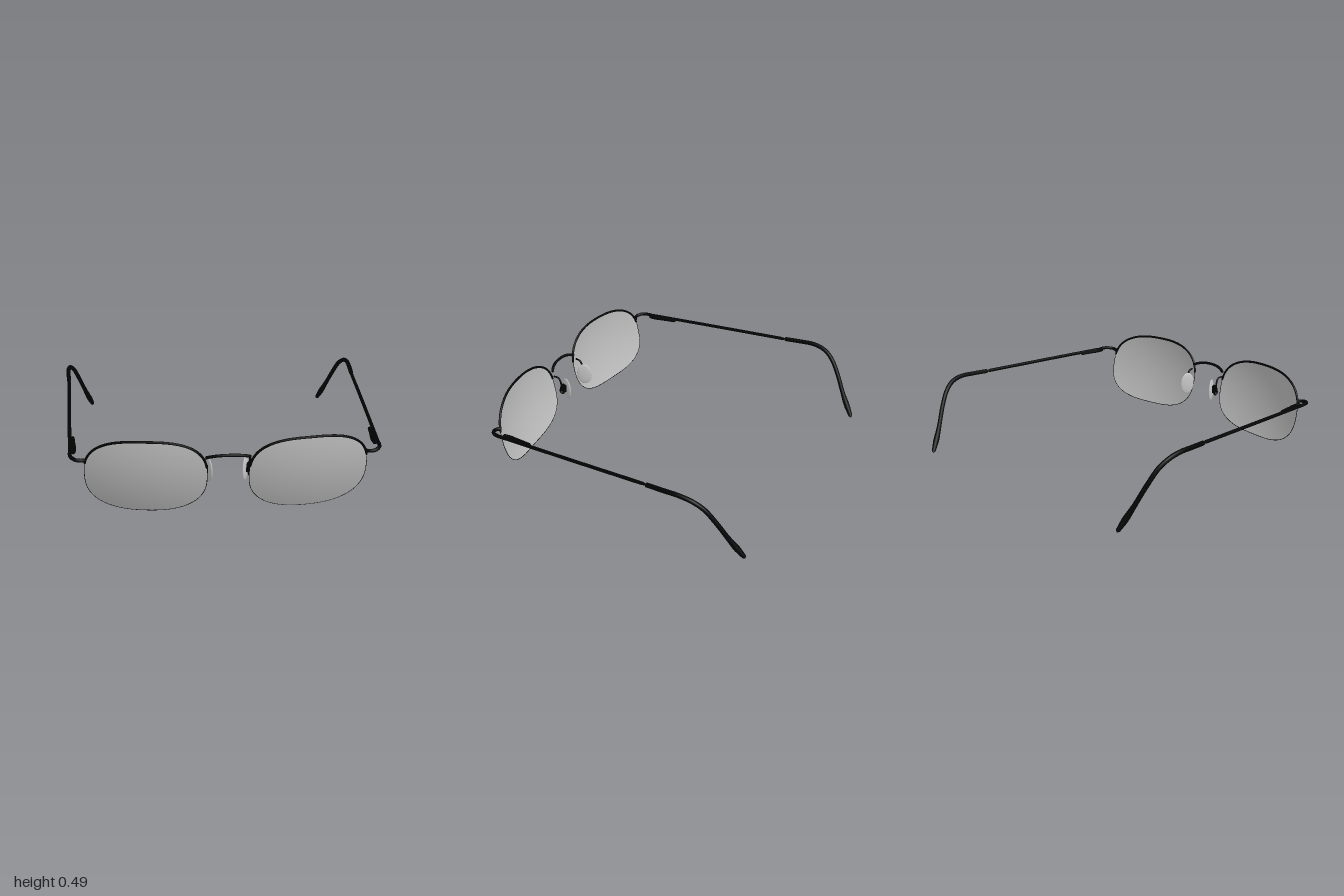
import * as THREE from 'three';
import { mergeVertices } from 'three/addons/utils/BufferGeometryUtils.js';

const lensMat = new THREE.MeshStandardMaterial({ color: 0xbababa, side: THREE.DoubleSide });
lensMat.name = 'smoke grey lens';
const padMat = new THREE.MeshStandardMaterial({ color: 0xc6c6c6 });
padMat.name = 'pale grey pad';
const frameMat = new THREE.MeshStandardMaterial({ color: 0x020202 });
frameMat.name = 'black frame';

const V = (x, y, z) => new THREE.Vector3(x, y, z);

// Rounded lens outline, at fraction r from its centre
function outline(angle, r = 1) {
  const c = Math.cos(angle), s = Math.sin(angle), n = 2.65;
  const k = r / Math.pow(Math.abs(c) ** n + Math.abs(s) ** n, 1 / n);
  return [0.357 * k * c, 0.243 + 0.239 * k * s];
}

// Curved, tilted face that the lenses and rims follow
function faceZ(x, y) {
  const dx = Math.abs(x) - 0.33, dy = y - 0.3;
  return 0.918 - 0.45 * dx * dx - 0.5 * dy * dy + 0.142 * dy;
}

// Round wire through points, closed at the ends; radius may vary along it
function wire(name, points, radius, segments = 32, sides = 10) {
  const curve = new THREE.CatmullRomCurve3(points, false, 'centripetal');
  const geo = new THREE.TubeGeometry(curve, segments, 1, sides, false);
  const pos = geo.attributes.position, p = V(0, 0, 0);
  for (let i = 0; i <= segments; i++) {
    const t = i / segments, centre = curve.getPointAt(t);
    const r = i === 0 || i === segments ? 0.0005 : typeof radius === 'function' ? radius(t) : radius;
    for (let j = 0; j <= sides; j++) {
      const k = i * (sides + 1) + j;
      p.fromBufferAttribute(pos, k).sub(centre).multiplyScalar(r).add(centre);
      pos.setXYZ(k, p.x, p.y, p.z);
    }
  }
  const mesh = new THREE.Mesh(geo, frameMat);
  mesh.name = name;
  return mesh;
}

function lens(s) {
  let geo = new THREE.RingGeometry(0.001, 1, 72, 12);
  const pos = geo.attributes.position;
  for (let i = 0; i < pos.count; i++) {
    const x = pos.getX(i), y = pos.getY(i);
    const [u, v] = outline(Math.atan2(y, x), Math.hypot(x, y));
    const px = s * 0.48 + u;
    pos.setXYZ(i, px, v, faceZ(px, v));
  }
  geo.deleteAttribute('uv');
  geo.deleteAttribute('normal');
  geo = mergeVertices(geo, 1e-5);
  geo.computeVertexNormals();
  const mesh = new THREE.Mesh(geo, lensMat);
  mesh.name = 'lens';
  return mesh;
}

// Stretch of rim between two angles around a lens
function rim(name, s, from, to, radius) {
  const pts = [];
  for (let i = 0; i <= 32; i++) {
    const [u, v] = outline(from + (to - from) * i / 32);
    const x = s * (0.48 + u);
    pts.push(V(x, v, faceZ(x, v)));
  }
  return wire(name, pts, radius, 72, 8);
}

function side(s) {
  const g = new THREE.Group();
  g.name = s > 0 ? 'leftSide' : 'rightSide';
  const P = (...list) => list.map(([x, y, z]) => V(s * x, y, z));

  // Lens with heavy upper rim and thin lower cord
  g.add(lens(s));
  g.add(rim('upperRim', s, 0.25, Math.PI - 0.2, 0.0075));
  g.add(rim('lowerCord', s, Math.PI - 0.22, Math.PI * 2 + 0.27, 0.002));

  // Nose pad on its bent arm
  const pad = new THREE.Mesh(new THREE.SphereGeometry(1, 20, 14), padMat);
  pad.name = 'nosePad';
  pad.scale.set(0.01, 0.077, 0.052);
  pad.position.set(s * 0.11, 0.245, 0.797);
  pad.rotation.y = -s * 0.4;
  g.add(pad);
  g.add(wire('padArm', P([0.135, 0.33, 0.885], [0.132, 0.325, 0.845], [0.132, 0.28, 0.825],
    [0.132, 0.22, 0.835], [0.13, 0.21, 0.815], [0.125, 0.24, 0.805]), 0.006, 28, 8));
  const mount = new THREE.Mesh(new THREE.BoxGeometry(0.022, 0.05, 0.036), frameMat);
  mount.name = 'padMount';
  mount.position.set(s * 0.13, 0.255, 0.808);
  mount.rotation.y = -s * 0.4;
  g.add(mount);

  // End piece curling round to the hinge
  g.add(wire('endPiece', P([0.826, 0.335, 0.805], [0.848, 0.338, 0.82], [0.88, 0.342, 0.82],
    [0.91, 0.348, 0.79], [0.919, 0.35, 0.75], [0.917, 0.35, 0.68]), 0.0115));
  g.add(wire('hinge', P([0.903, 0.35, 0.735], [0.897, 0.351, 0.68], [0.904, 0.355, 0.6],
    [0.91, 0.359, 0.51]), t => 0.015 - 0.005 * t, 16));

  // Temple arm and thicker ear tip
  g.add(wire('temple', P([0.918, 0.349, 0.75], [0.945, 0.381, 0.2], [0.97, 0.413, -0.36]), 0.011, 24));
  g.add(wire('earTip', P([0.969, 0.411, -0.33], [0.978, 0.419, -0.45], [0.981, 0.423, -0.56],
    [0.972, 0.405, -0.64], [0.952, 0.36, -0.705], [0.925, 0.275, -0.765],
    [0.883, 0.14, -0.84], [0.841, 0.008, -0.925]),
    t => 0.0145 + 0.005 * Math.exp(-(((t - 0.89) / 0.08) ** 2)) - 0.03 * Math.max(0, t - 0.9), 60));
  return g;
}

export function createModel() {
  const model = new THREE.Group();
  model.name = 'eyeglasses';
  model.add(side(1), side(-1));
  // Arched bridge between the lenses
  model.add(wire('bridge', [V(-0.135, 0.358, 0.888), V(-0.11, 0.37, 0.903), V(-0.05, 0.384, 0.92),
    V(0.05, 0.384, 0.92), V(0.11, 0.37, 0.903), V(0.135, 0.358, 0.888)], 0.0095));
  return model;
}
